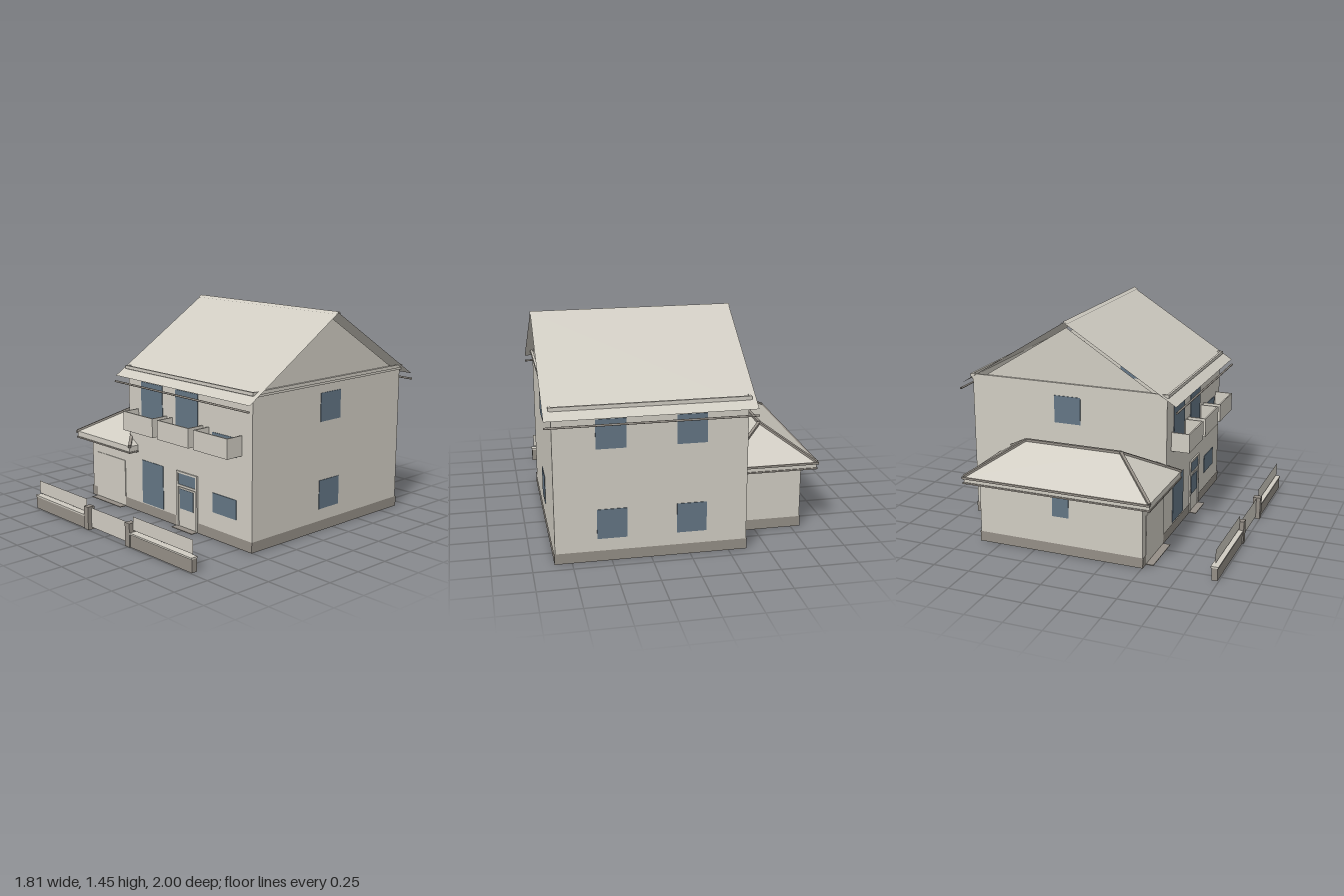
import * as THREE from 'three';

const mat = (name, color) => {
  const m = new THREE.MeshStandardMaterial({ color, side: THREE.DoubleSide });
  m.name = name;
  return m;
};

export function createModel() {
  const house = new THREE.Group();
  house.name = 'house';
  const plaster = mat('plaster', 0xd0ccc2);
  const stone = mat('stone', 0x948e86);
  const glass = mat('glass', 0x637584);

  const add = (name, geo, material) => {
    const m = new THREE.Mesh(geo, material);
    m.name = name;
    house.add(m);
    return m;
  };
  // Box given by its limits on each axis
  const box = (name, x0, x1, y0, y1, z0, z1, material) => {
    const m = add(name, new THREE.BoxGeometry(x1 - x0, y1 - y0, z1 - z0), material);
    m.position.set((x0 + x1) / 2, (y0 + y1) / 2, (z0 + z1) / 2);
    return m;
  };
  // Flat faces, each a list of three or four corners
  const sheet = (name, faces, material) => {
    const pos = [];
    for (const f of faces)
      for (let i = 1; i < f.length - 1; i++) pos.push(...f[0], ...f[i], ...f[i + 1]);
    const g = new THREE.BufferGeometry();
    g.setAttribute('position', new THREE.Float32BufferAttribute(pos, 3));
    g.computeVertexNormals();
    return add(name, g, material);
  };
  // Upright thin wall along a path of [x, z] points, counter-clockwise from above
  const wall = (name, path, y0, y1, material) => {
    const faces = [];
    for (let i = 0; i < path.length - 1; i++) {
      const [ax, az] = path[i], [bx, bz] = path[i + 1];
      faces.push([[ax, y0, az], [bx, y0, bz], [bx, y1, bz], [ax, y1, az]]);
    }
    return sheet(name, faces, material);
  };
  // Square bar between two points
  const bar = (name, a, b, size, material) => {
    const p = new THREE.Vector3(...a), q = new THREE.Vector3(...b);
    const m = add(name, new THREE.BoxGeometry(size, size, p.distanceTo(q)), material);
    m.position.copy(p).lerp(q, 0.5);
    m.lookAt(q);
    return m;
  };
  // Rectangular ring frame lying flat
  const ring = (name, x0, x1, y0, y1, z0, z1, w, material) => {
    box(name, x0, x1, y0, y1, z1 - w, z1, material);
    box(name, x0, x1, y0, y1, z0, z0 + w, material);
    box(name, x0, x0 + w, y0, y1, z0 + w, z1 - w, material);
    box(name, x1 - w, x1, y0, y1, z0 + w, z1 - w, material);
  };

  // Main walls and gables
  const L = -0.365, R = 0.855, F = 0.5, B = -0.915, mid = -0.205;
  wall('mainWalls', [[L, F], [R, F], [R, B], [L, B], [L, F]], 0, 0.995, plaster);
  sheet('rightGable', [[[R, 0.995, 0.44], [R, 0.995, -0.85], [R, 1.4, mid]]], plaster);
  sheet('leftGable', [[[L, 0.995, -0.85], [L, 0.995, 0.44], [L, 1.4, mid]]], plaster);

  // Cornice in two steps
  ring('corniceTop', -0.38, 0.87, 1.0, 1.022, -0.925, 0.515, 0.015, plaster);
  ring('corniceLip', -0.373, 0.863, 0.985, 1.0, -0.92, 0.508, 0.01, plaster);

  // Main roof, ridge cap and gutters
  const rx0 = -0.41, rx1 = 0.905, ez = 0.78;
  for (const s of [1, -1]) {
    const e = mid + s * ez;
    sheet('roofSlope', [[[rx0, 0.955, e], [rx1, 0.955, e], [rx1, 1.443, mid], [rx0, 1.443, mid]]], plaster);
    sheet('ridgeCap', [[[rx0, 1.435, mid + s * 0.024], [rx1 + 0.003, 1.435, mid + s * 0.024],
      [rx1 + 0.003, 1.45, mid], [rx0, 1.45, mid]]], plaster);
    const gutter = add('gutter', new THREE.CylinderGeometry(0.007, 0.007, rx1 - rx0, 8, 1, true), stone);
    gutter.rotation.z = Math.PI / 2;
    gutter.position.set((rx0 + rx1) / 2, 0.916, mid + s * 0.785);
  }

  // Annex walls
  const AL = -0.81, AB = -0.645;
  wall('annexWalls', [[L, AB], [AL, AB], [AL, F], [L, F]], 0, 0.46, plaster);

  // Annex hip roof with fascia, eaves trim and hip caps
  const ax0 = -0.893, ax1 = -0.275, az0 = -0.715, az1 = 0.573, ey = 0.475;
  const c = [[ax0, ey, az1], [ax1, ey, az1], [ax1, ey, az0], [ax0, ey, az0]];
  const rf = [-0.584, 0.668, 0.265], rb = [-0.584, 0.668, -0.41];
  sheet('annexRoof', [[c[0], c[1], rf], [c[1], c[2], rb, rf], [c[2], c[3], rb], [c[3], c[0], rf, rb]], plaster);
  wall('annexFascia', [[ax0, az1], [ax1, az1], [ax1, az0], [ax0, az0], [ax0, az1]], 0.435, ey, plaster);
  ring('annexEavesTrim', ax0 - 0.006, ax1 + 0.006, 0.427, 0.437, az0 - 0.006, az1 + 0.006, 0.025, stone);
  bar('annexRidgeCap', rf, rb, 0.02, stone);
  for (let i = 0; i < 4; i++) bar('hipCap', c[i], i === 0 || i === 1 ? rf : rb, 0.02, stone);
  box('annexLeftGutter', -0.906, -0.888, 0.462, 0.476, az0 - 0.008, az1 + 0.006, stone);
  box('annexBackGutter', -0.906, L, 0.462, 0.476, az0 - 0.01, az0 + 0.006, stone);

  // Stone plinth, broken at the doors
  const o = 0.005, ph = 0.07;
  wall('plinth', [[0.35, F + o], [R + o, F + o], [R + o, B - o], [L - o, B - o], [L - o, AB - o],
    [AL - o, AB - o], [AL - o, F + o], [-0.755, F + o]], 0, ph, stone);
  wall('plinth', [[-0.42, F + o], [0.145, F + o]], 0, ph, stone);

  // Windows: front and back
  const t = 0.004;
  const frontWindows = [[-0.225, 0, 0.585, 0.93], [0.135, 0.355, 0.585, 0.93], [0.495, 0.715, 0.585, 0.71],
    [-0.225, 0, 0.075, 0.38], [0.495, 0.715, 0.18, 0.31]];
  for (const [x0, x1, y0, y1] of frontWindows) box('frontWindow', x0, x1, y0, y1, F, F + t, glass);
  for (const [y0, y1] of [[0.15, 0.345], [0.74, 0.93]]) {
    for (const x of [-0.105, 0.4]) box('backWindow', x, x + 0.19, y0, y1, B - t, B, glass);
    box('rightWindow', R, R + t, y0, y1, -0.3, -0.11, glass);
  }
  box('leftWindow', L - t, L, 0.74, 0.93, -0.3, -0.11, glass);
  box('annexWindow', AL - t, AL, 0.26, 0.39, -0.12, -0.005, glass);

  // Front door
  box('doorFrameLeft', 0.335, 0.35, 0, 0.385, F, F + 0.01, plaster);
  box('doorFrameRight', 0.145, 0.16, 0, 0.385, F, F + 0.01, plaster);
  box('doorFrameTop', 0.16, 0.335, 0.372, 0.385, F, F + 0.01, plaster);
  box('doorTransomBar', 0.16, 0.335, 0.28, 0.295, F, F + 0.01, plaster);
  box('doorPanel', 0.165, 0.33, 0.005, 0.275, F, F + 0.004, plaster);
  box('doorTransomGlass', 0.16, 0.335, 0.295, 0.372, F, F + 0.005, glass);
  box('doorGlass', 0.177, 0.312, 0.13, 0.265, F + 0.004, F + 0.008, glass);
  box('doorStep', 0.145, 0.35, 0, 0.005, F, 0.555, stone);

  // Garage door
  box('garageDoor', -0.755, -0.42, 0, 0.335, F, F + 0.005, plaster);
  box('garageThreshold', -0.755, -0.42, 0, 0.005, F, 0.555, stone);

  // Balcony parapets, open below
  for (const x of [-0.27, 0.09, 0.45]) {
    const x1 = x + 0.312, w = 0.01;
    box('balconyFront', x, x1, 0.605, 0.735, 0.615, 0.625, plaster);
    box('balconySide', x, x + w, 0.605, 0.735, F, 0.615, plaster);
    box('balconySide', x1 - w, x1, 0.605, 0.735, F, 0.615, plaster);
  }

  // Street fence and gate
  for (const [x0, x1] of [[-0.81, -0.215], [0.255, 0.855]]) {
    box('fenceBase', x0, x1, 0, 0.085, 0.953, 0.992, stone);
    box('fenceCoping', x0 - 0.005, x1 + 0.003, 0.085, 0.096, 0.948, 0.997, plaster);
    wall('fencePanel', [[x0 + 0.015, 0.972], [x1 - 0.012, 0.972]], 0.11, 0.2, plaster);
  }
  for (const x of [-0.202, 0.243]) box('gatePost', x - 0.023, x + 0.023, 0, 0.157, 0.948, 1.0, stone);
  wall('gate', [[-0.18, 0.972], [0.22, 0.972]], 0.015, 0.15, plaster);

  return house;
}
